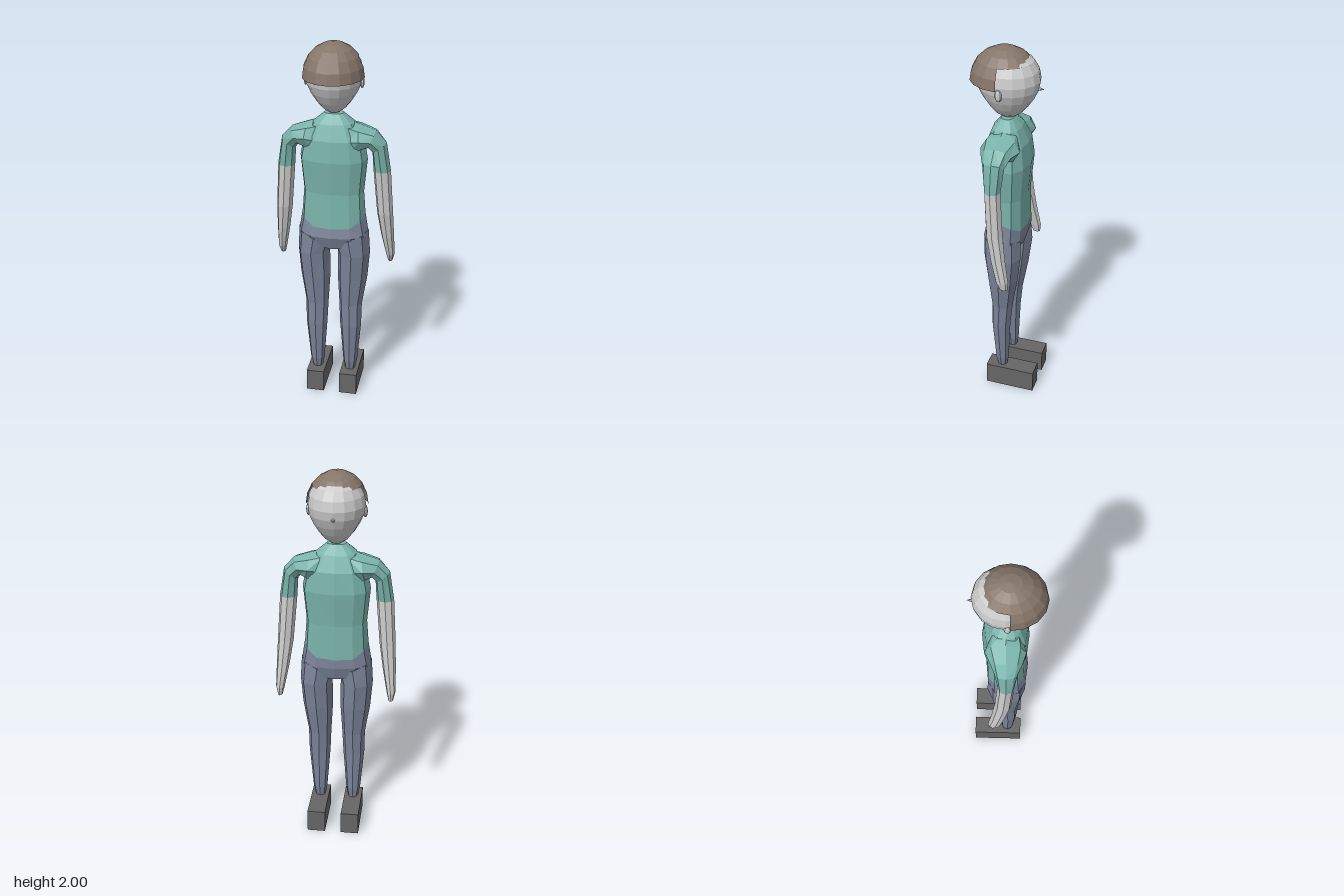
import * as THREE from 'three';

const SHIRT = 0x7ab4ab, TROUSERS = 0x7b8499, HAIR = 0x86766a, SHOE = 0x666666, SKIN = 0xcccccc;

function mesh(name, geometry, color, side = THREE.FrontSide) {
  const m = new THREE.Mesh(geometry, new THREE.MeshStandardMaterial({ color, flatShading: true, side }));
  m.name = name;
  return m;
}

// Skin a list of rings (listed top to bottom) and close both ends
function loft(rings, s = 1) {
  const n = rings[0].length, pos = [];
  const tri = (a, b, c) => (s > 0 ? [a, b, c] : [a, c, b]).forEach(p => pos.push(p.x * s, p.y, p.z));
  for (let i = 0; i < rings.length - 1; i++) {
    for (let j = 0; j < n; j++) {
      const k = (j + 1) % n, a = rings[i], b = rings[i + 1];
      tri(a[j], a[k], b[j]);
      tri(a[k], b[k], b[j]);
    }
  }
  const top = rings[0], end = rings[rings.length - 1];
  for (let j = 1; j < n - 1; j++) {
    tri(top[0], top[j + 1], top[j]);
    tri(end[0], end[j], end[j + 1]);
  }
  const g = new THREE.BufferGeometry();
  g.setAttribute('position', new THREE.Float32BufferAttribute(pos, 3));
  g.computeVertexNormals();
  return g;
}

// Limb ring between an outer and an inner point, with z centre and z radius
const limbRing = ([ox, oy, ix, iy, zc, zr]) => Array.from({ length: 8 }, (_, j) => {
  const a = j / 8 * Math.PI * 2, t = (1 - Math.cos(a)) / 2;
  return new THREE.Vector3(ox + (ix - ox) * t, oy + (iy - oy) * t, zc + zr * Math.sin(a));
});

// Body ring: height, half width, z of back (+) and chest (-), and how far the sides lift
const bodyRing = ([y, rx, zb, zf, lift = 0]) => Array.from({ length: 12 }, (_, j) => {
  const a = j / 12 * Math.PI * 2, c = Math.cos(a), s = Math.sin(a);
  const soft = v => Math.sign(v) * Math.pow(Math.abs(v), 0.8);
  return new THREE.Vector3(rx * soft(c), y + lift * c ** 4, (s > 0 ? zb : -zf) * soft(s));
});

const WAIST = [1.03, 0.167, 0.1, -0.11, 0.07];
const TORSO = [
  [1.637, 0.05, 0.03, -0.035], [1.59, 0.105, 0.07, -0.075], [1.51, 0.155, 0.1, -0.11],
  [1.4, 0.175, 0.11, -0.124], [1.22, 0.158, 0.092, -0.108], WAIST,
];
const HIPS = [WAIST, [0.98, 0.186, 0.11, -0.11], [0.91, 0.12, 0.085, -0.09]];
const SLEEVE = [
  [0.05, 1.61, 0.09, 1.4, -0.004, 0.08], [0.13, 1.583, 0.15, 1.45, -0.004, 0.1],
  [0.215, 1.555, 0.18, 1.465, 0, 0.077], [0.27, 1.495, 0.198, 1.44, 0, 0.056],
  [0.295, 1.34, 0.205, 1.34, 0, 0.042],
];
const FOREARM = [
  [0.295, 1.34, 0.205, 1.34, 0, 0.042], [0.31, 1.1, 0.226, 1.1, -0.015, 0.043],
  [0.316, 0.96, 0.248, 0.96, -0.037, 0.039], [0.319, 0.84, 0.272, 0.84, -0.062, 0.034],
  [0.308, 0.795, 0.283, 0.795, -0.072, 0.02],
];
const LEG = [
  [0.186, 1.0, 0, 0.93, 0, 0.1], [0.194, 0.87, 0.022, 0.87, -0.003, 0.1],
  [0.182, 0.72, 0.02, 0.72, -0.003, 0.082], [0.155, 0.55, 0.03, 0.55, 0.002, 0.058],
  [0.153, 0.42, 0.036, 0.42, 0.008, 0.052], [0.132, 0.18, 0.054, 0.18, 0.003, 0.037],
  [0.118, 0.12, 0.066, 0.12, 0.001, 0.026],
];

export function createModel() {
  const model = new THREE.Group();
  model.name = 'figure';

  // Body
  model.add(mesh('torso', loft(TORSO.map(bodyRing)), SHIRT));
  model.add(mesh('hips', loft(HIPS.map(bodyRing)), TROUSERS));

  // Limbs, shoes and ears on both sides
  for (const [side, s] of [['left', 1], ['right', -1]]) {
    model.add(mesh(side + 'Sleeve', loft(SLEEVE.map(limbRing), s), SHIRT));
    model.add(mesh(side + 'Arm', loft(FOREARM.map(limbRing), s), SKIN));
    model.add(mesh(side + 'Leg', loft(LEG.map(limbRing), s), TROUSERS));
    const shoe = mesh(side + 'Shoe', new THREE.BoxGeometry(0.097, 0.125, 0.272), SHOE);
    shoe.position.set(s * 0.0925, 0.0625, -0.054);
    const ear = mesh(side + 'Ear', new THREE.SphereGeometry(1, 8, 6).scale(0.012, 0.032, 0.018), SKIN);
    ear.position.set(s * 0.141, 1.803, 0.004);
    model.add(shoe, ear);
  }

  // Egg-shaped head
  const profile = [
    [0, 1.634], [0.03, 1.643], [0.06, 1.665], [0.09, 1.702], [0.118, 1.748], [0.138, 1.795],
    [0.145, 1.84], [0.136, 1.89], [0.112, 1.935], [0.07, 1.968], [0, 1.983],
  ].map(([r, y]) => new THREE.Vector2(r, y));
  const head = mesh('head', new THREE.LatheGeometry(profile, 16).scale(1, 1, 1.1), SKIN);
  head.position.z = -0.004;
  const nose = mesh('nose', new THREE.ConeGeometry(0.012, 0.035, 6).rotateX(-Math.PI / 2), SKIN);
  nose.position.set(0, 1.802, -0.167);
  model.add(head, nose);

  // Hair: a crown all round and a longer half shell at the back
  const cut = THREE.MathUtils.degToRad(53);
  const hair = new THREE.Group();
  hair.name = 'hair';
  hair.add(mesh('hairCrown', new THREE.SphereGeometry(1, 16, 3, 0, Math.PI * 2, 0, cut), HAIR, THREE.DoubleSide));
  hair.add(mesh('hairBack', new THREE.SphereGeometry(1, 8, 2, 0, Math.PI, cut, Math.PI / 2 - cut), HAIR, THREE.DoubleSide));
  hair.scale.set(0.156, 0.172, 0.175);
  hair.position.set(0, 1.828, 0.015);
  model.add(hair);

  return model;
}
